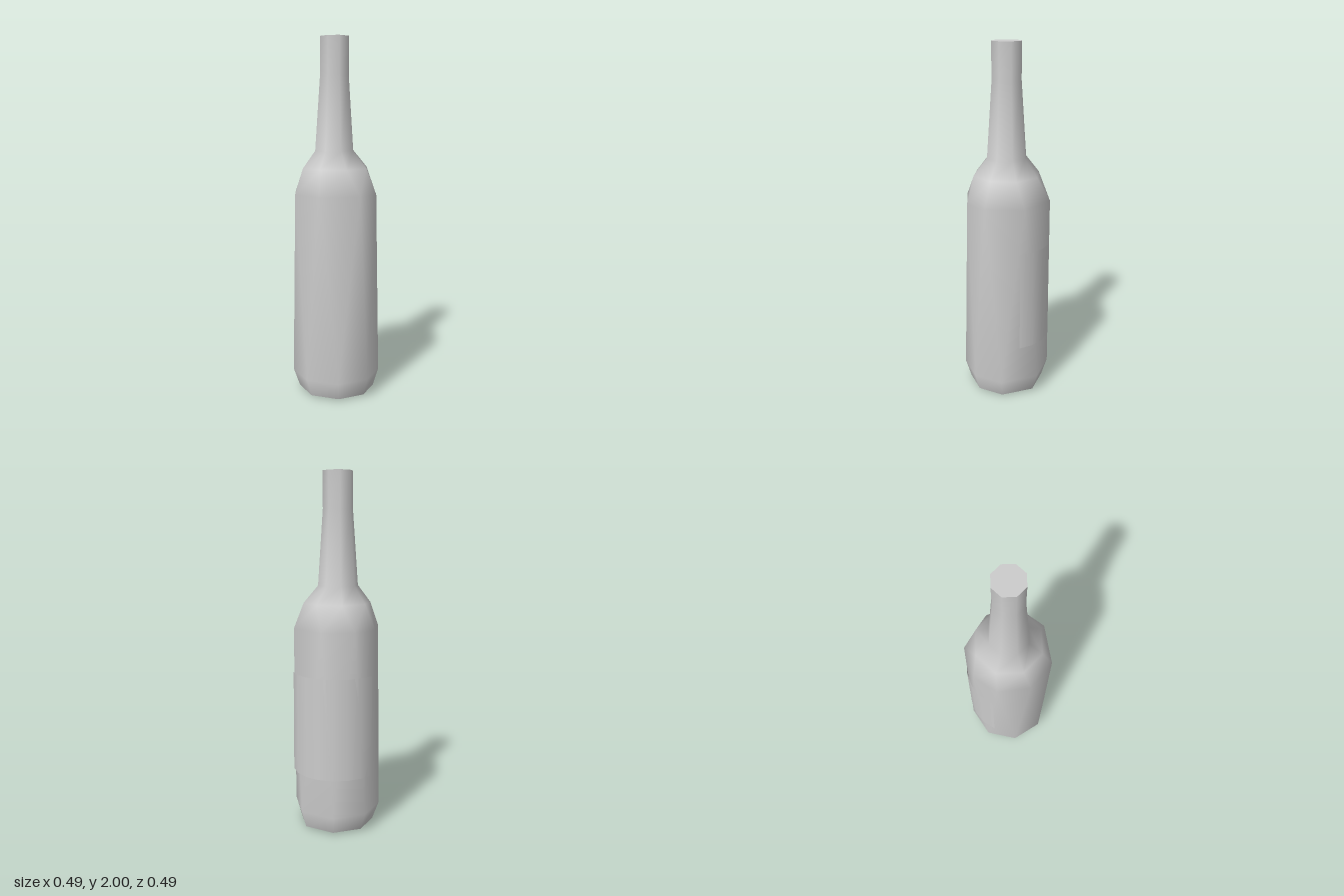
import * as THREE from 'three';

const SIDES = 8;
const turned = (start) => Array.from({ length: SIDES }, (_, i) => start + i * 45);
const FOOT = [0, 41, 83, 127, 171, 215, 260, 308];
const SHOULDER = [22, 54, 108, 152, 196, 232, 275, 330];

// Hand-cut rings from the foot to the mouth: height, radius, centre x, angles
const RINGS = [
  { y: 0.01, r: 0.215, x: 0.003, angles: FOOT },
  { y: 0.11, r: 0.248, x: 0, angles: FOOT },
  { y: 1.15, r: 0.245, x: 0, angles: SHOULDER },
  { y: 1.29, r: 0.188, x: -0.004, angles: turned(22) },
  { y: 1.385, r: 0.112, x: -0.009, angles: turned(22) },
  { y: 1.8, r: 0.083, x: -0.008, angles: turned(22) },
  { y: 2, r: 0.084, x: -0.007, angles: turned(22) },
];

const ringPoints = ({ y, r, x, angles }) => angles.map((deg) => {
  const a = THREE.MathUtils.degToRad(deg);
  return [x + r * Math.cos(a), y, r * Math.sin(a)];
});

function buildGeometry(points, index) {
  const geometry = new THREE.BufferGeometry();
  geometry.setAttribute('position', new THREE.Float32BufferAttribute(points.flat(), 3));
  geometry.setIndex(index);
  geometry.computeVertexNormals();
  return geometry;
}

// Smooth skin joining each ring to the next
function loft(rings) {
  const index = [];
  for (let k = 0; k < rings.length - 1; k++) {
    for (let i = 0; i < SIDES; i++) {
      const j = (i + 1) % SIDES;
      const a = k * SIDES, b = a + SIDES;
      index.push(a + i, b + i, a + j, a + j, b + i, b + j);
    }
  }
  return buildGeometry(rings.flatMap(ringPoints), index);
}

// Fan closing one ring
function cap(ring, centreY, facesUp) {
  const index = [];
  for (let i = 0; i < SIDES; i++) {
    const j = (i + 1) % SIDES;
    index.push(SIDES, ...(facesUp ? [j, i] : [i, j]));
  }
  return buildGeometry([...ringPoints(ring), [ring.x, centreY, 0]], index);
}

export function createModel() {
  const group = new THREE.Group();
  group.name = 'bottle';
  const glass = new THREE.MeshStandardMaterial({ color: 0xcccccc });
  const paper = new THREE.MeshStandardMaterial({ color: 0xcccccc, side: THREE.DoubleSide });

  const add = (name, geometry, material = glass) => {
    const mesh = new THREE.Mesh(geometry, material);
    mesh.name = name;
    group.add(mesh);
    return mesh;
  };

  add('bottleBody', loft(RINGS));
  add('bottleBase', cap(RINGS[0], 0, false));
  add('bottleTop', cap(RINGS[RINGS.length - 1], 2, true));

  // Thin blank sheet wrapped around the back
  const rad = THREE.MathUtils.degToRad;
  const label = add('backLabel',
    new THREE.CylinderGeometry(0.245, 0.248, 0.57, 7, 1, true, rad(-246), rad(133)), paper);
  label.position.y = 0.615;

  return group;
}
